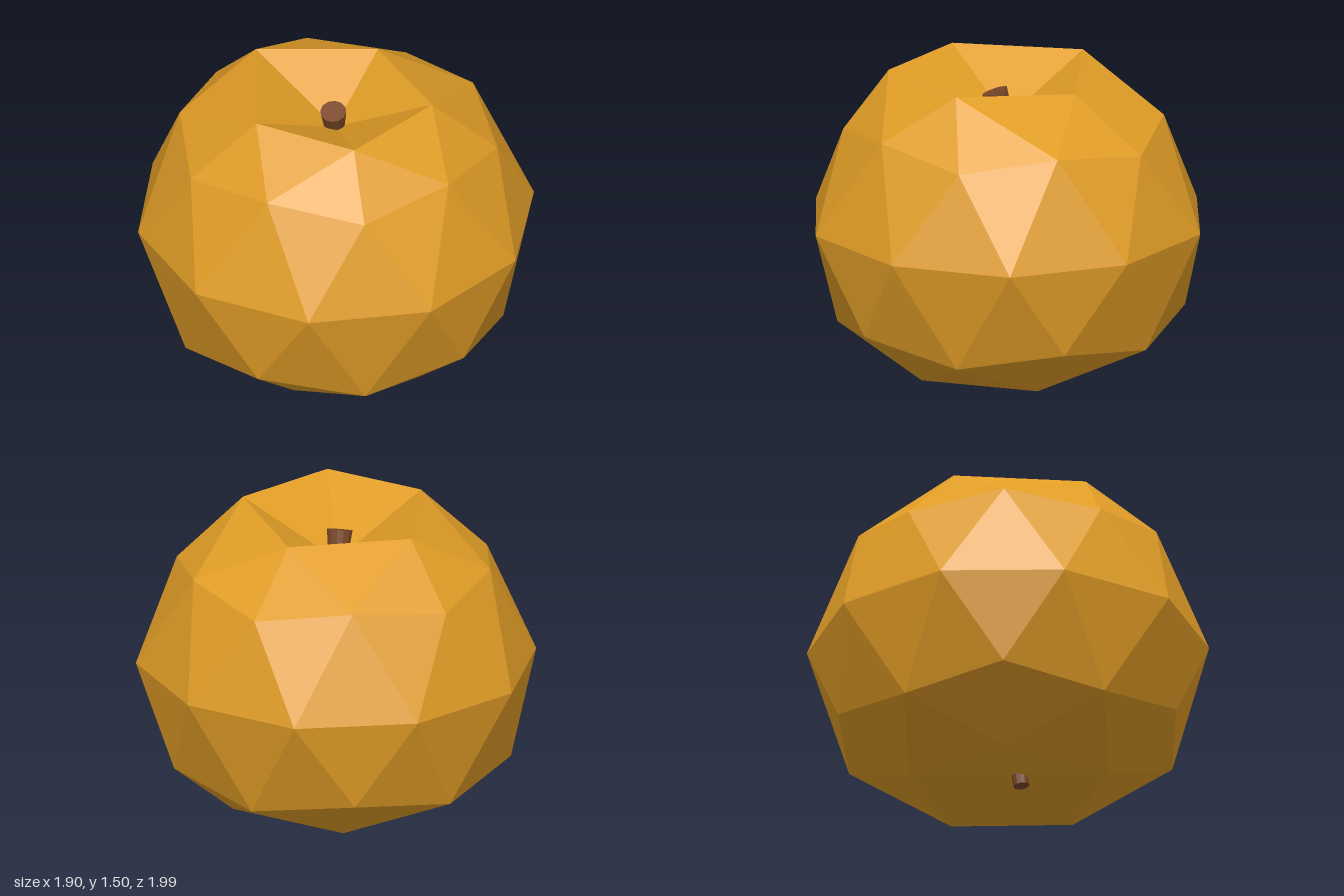
import * as THREE from 'three';

const skin = new THREE.MeshStandardMaterial({ color: 0xe09c26, flatShading: true });
skin.name = 'golden skin';
const bark = new THREE.MeshStandardMaterial({ color: 0x7a4828, flatShading: true });
bark.name = 'brown stem';

// Ring of ten points; even and odd points have their own radius and height
function ring(offset, even, odd) {
  return Array.from({ length: 10 }, (_, k) => {
    const [r, y] = k % 2 ? odd : even;
    const a = (k * 36 + offset) * Math.PI / 180;
    return [r * Math.sin(a), y, -r * Math.cos(a)];
  });
}

// Faceted fruit body built from horizontal rings of a subdivided icosahedron
function bodyGeometry() {
  const rim = [[0.16, 1.46, -0.4], [0.5, 1.5, 0.11], [0.17, 1.5, 0.56], [-0.34, 1.5, 0.39], [-0.43, 1.5, -0.26]];
  const upper = ring(18, [0.81, 1.2], [0.775, 1.265]);
  const middle = ring(0, [1, 0.74], [0.99, 0.74]);
  const lower = ring(18, [0.84, 0.2], [0.88, 0.28]);
  const base = [[0.46, 0, -0.3], [0.46, 0, 0.3], [-0.14, 0, 0.5], [-0.48, 0, 0], [-0.14, 0, -0.5]];
  const topDimple = [0, 1.25, 0];
  const bottomDimple = [0, 0.08, 0];
  const pos = [];
  const tri = (a, b, c) => pos.push(...a, ...b, ...c);

  // Bands above and below the middle
  for (let k = 0; k < 10; k++) {
    const n = (k + 1) % 10;
    tri(upper[k], upper[n], middle[n]);
    tri(middle[k], upper[k], middle[n]);
    tri(lower[n], lower[k], middle[n]);
    tri(lower[k], middle[k], middle[n]);
  }
  // Shoulders, underside and the two dimples
  for (let j = 0; j < 5; j++) {
    const n = (j + 1) % 5, k = 2 * j;
    tri(rim[j], upper[k], upper[(k + 9) % 10]);
    tri(rim[j], upper[k + 1], upper[k]);
    tri(rim[j], rim[n], upper[k + 1]);
    tri(topDimple, rim[n], rim[j]);
    const i = k + 1, right = lower[k], left = lower[(i + 1) % 10];
    tri(base[j], right, lower[i]);
    tri(base[j], lower[i], left);
    tri(base[n], base[j], left);
    tri(bottomDimple, base[j], base[n]);
  }
  const g = new THREE.BufferGeometry();
  g.setAttribute('position', new THREE.Float32BufferAttribute(pos, 3));
  g.computeVertexNormals();
  return g;
}

// Tapered stalk between two points
function stalk(name, from, to, rFrom, rTo) {
  const a = new THREE.Vector3(...from), b = new THREE.Vector3(...to);
  const dir = b.clone().sub(a);
  const mesh = new THREE.Mesh(new THREE.CylinderGeometry(rTo, rFrom, dir.length(), 12), bark);
  mesh.position.copy(a).add(b).multiplyScalar(0.5);
  mesh.quaternion.setFromUnitVectors(new THREE.Vector3(0, 1, 0), dir.normalize());
  mesh.name = name;
  return mesh;
}

export function createModel() {
  const group = new THREE.Group();
  group.name = 'fruit';
  const body = new THREE.Mesh(bodyGeometry(), skin);
  body.name = 'body';
  group.add(body);
  group.add(stalk('stem', [0, 1.23, 0.01], [0, 1.385, 0.065], 0.045, 0.065));
  group.add(stalk('blossomEnd', [0.04, 0.09, 0.05], [0.04, 0.02, 0.06], 0.04, 0.04));
  return group;
}
